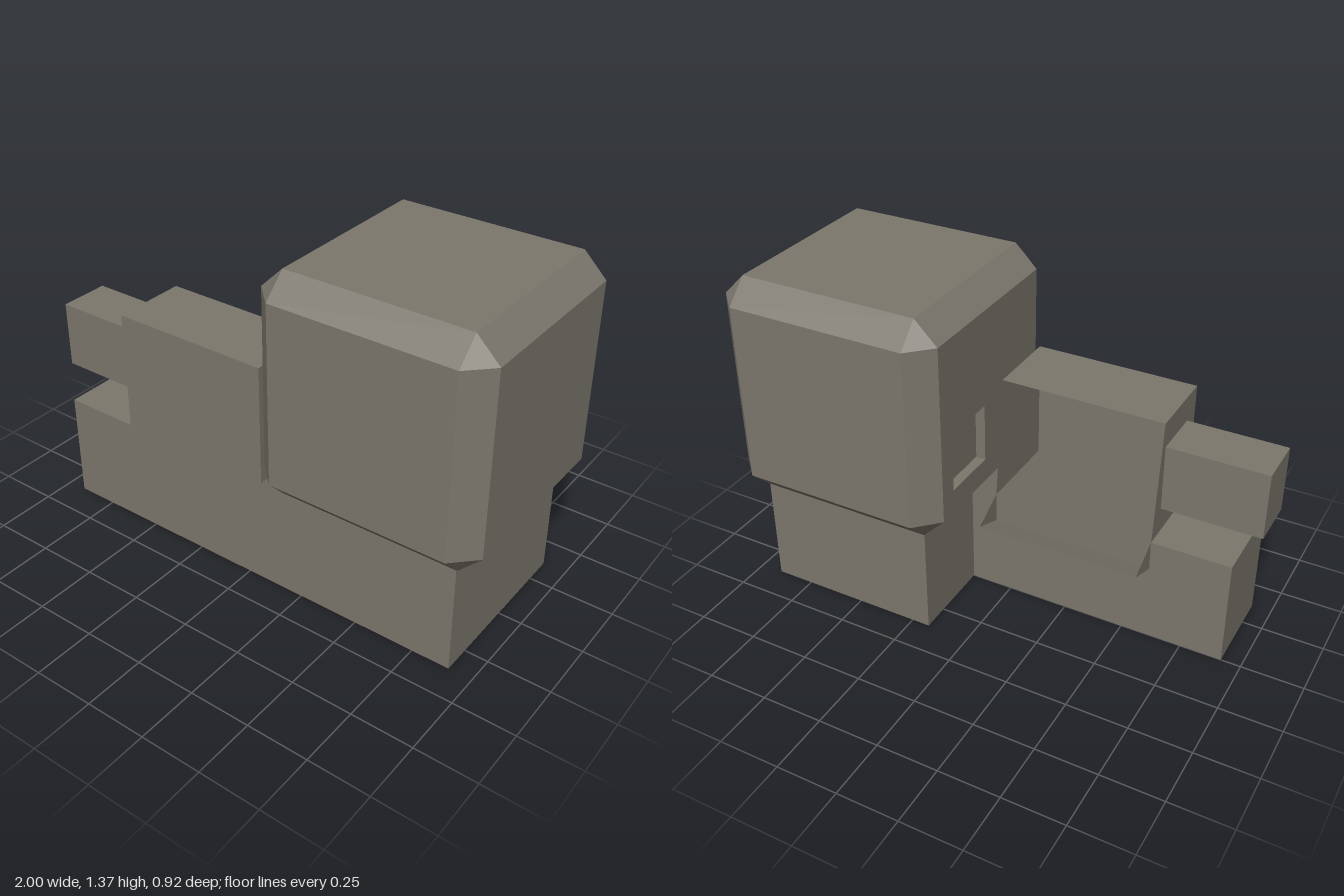
import * as THREE from 'three';

const stone = new THREE.MeshStandardMaterial({ color: 0x7c776d, side: THREE.DoubleSide, flatShading: true });
stone.name = 'warm grey';

const V = (x, y, z) => new THREE.Vector3(x, y, z);

// Flat convex panel from its corners, as a fan of triangles
const panel = (...p) => {
  const out = [];
  for (let i = 1; i < p.length - 1; i++) out.push(p[0], p[i], p[i + 1]);
  return out;
};

// Band of quads between two loops with the same number of points
const band = (a, b, skip = () => false) => {
  const out = [];
  a.forEach((p, i) => {
    const j = (i + 1) % a.length;
    if (!skip(i)) out.push(...panel(p, a[j], b[j], b[i]));
  });
  return out;
};

// Rectangle across the x axis
const rectX = (x, y0, y1, z0, z1) => [V(x, y0, z0), V(x, y0, z1), V(x, y1, z1), V(x, y1, z0)];

// Mesh from triangle corners, dropping collapsed triangles
function mesh(name, ...parts) {
  const pts = parts.flat(), kept = [];
  for (let i = 0; i < pts.length; i += 3) {
    if (new THREE.Triangle(pts[i], pts[i + 1], pts[i + 2]).getArea() > 1e-7) {
      kept.push(pts[i], pts[i + 1], pts[i + 2]);
    }
  }
  const g = new THREE.BufferGeometry().setFromPoints(kept);
  g.computeVertexNormals();
  const m = new THREE.Mesh(g, stone);
  m.name = name;
  return m;
}

export function createModel() {
  const model = new THREE.Group();
  model.name = 'blockBuilding';

  const L = -0.92, R = 0.905, step = 0.175;   // base ends and inner corner
  const F = 0.365, deck = 0.45;               // front plane and base height
  const b0 = -0.6, b1 = 0.065, roof = 0.945;  // middle block
  const mouth = 0.325;                        // lower edge of the rear opening

  // L-shaped base, an open shell without floor
  const wall = (x0, z0, x1, z1, y0 = 0, y1 = deck) =>
    panel(V(x0, y0, z0), V(x1, y0, z1), V(x1, y1, z1), V(x0, y1, z0));
  model.add(mesh('base',
    wall(L, F, R, F),
    wall(R, F, R, -F),
    wall(R, -F, step, -F),
    wall(step, -F, step, 0),
    wall(step, 0, b1, 0),
    wall(b1, 0, b0, 0, 0, mouth),
    wall(b0, 0, L, 0),
    wall(L, 0, L, F),
    panel(V(L, deck, F), V(b0, deck, F), V(b0, deck, 0), V(L, deck, 0))));

  // Middle block, open at the back, with a tilted lip below the opening
  const side = x => [V(x, deck, 0), V(x, deck, F), V(x, roof, F), V(x, roof, 0.055)];
  const lipSide = x => [V(x, deck, 0), V(x, 0.378, -0.135), V(x, mouth, 0)];
  const port = x => rectX(x, 0.56, 0.835, 0.075, 0.285);
  const [, , roofL, roofBackL] = side(b0), [, , roofR, roofBackR] = side(b1);
  model.add(mesh('middleBlock',
    wall(b0, F, b1, F, deck, roof),
    panel(roofL, roofR, roofBackR, roofBackL),
    panel(...side(b1).reverse()),
    band(side(b0), port(b0))));
  const lipL = lipSide(b0), lipR = lipSide(b1);
  model.add(mesh('rearLip',
    panel(...lipL), panel(...lipR.slice().reverse()),
    panel(lipL[1], lipR[1], lipR[2], lipL[2])));

  // Hollow arm on the end of the middle block
  model.add(mesh('sideArm', band(port(b0), port(-1)), panel(...port(-1))));

  // Large bevelled cube, open underneath
  const cx = 0.5425, h = 0.4575, i = 0.366;
  const ring = (y, o) => [[o, -i], [o, i], [i, o], [-i, o], [-o, i], [-o, -i], [-i, -o], [i, -o]]
    .map(([x, z]) => V(cx + x, y, z)).reverse();
  const low = ring(0.542, h), high = ring(1.274, h), top = ring(1.365, i);
  const leftFace = 2;  // segment of the ring that carries the window
  model.add(mesh('bevelledCube',
    band(ring(deck, i), low),
    band(low, high, k => k === leftFace),
    band(high, top),
    panel(...top)));

  // Left face of the cube with a shallow recessed window
  const x0 = cx - h;
  const opening = x => rectX(x, 0.64, 0.88, -0.29, -0.05);
  model.add(mesh('windowFace', band(rectX(x0, 0.542, 1.274, -i, i), opening(x0))));
  model.add(mesh('windowRecess', band(opening(x0), opening(x0 + 0.04)), panel(...opening(x0 + 0.04))));

  return model;
}
